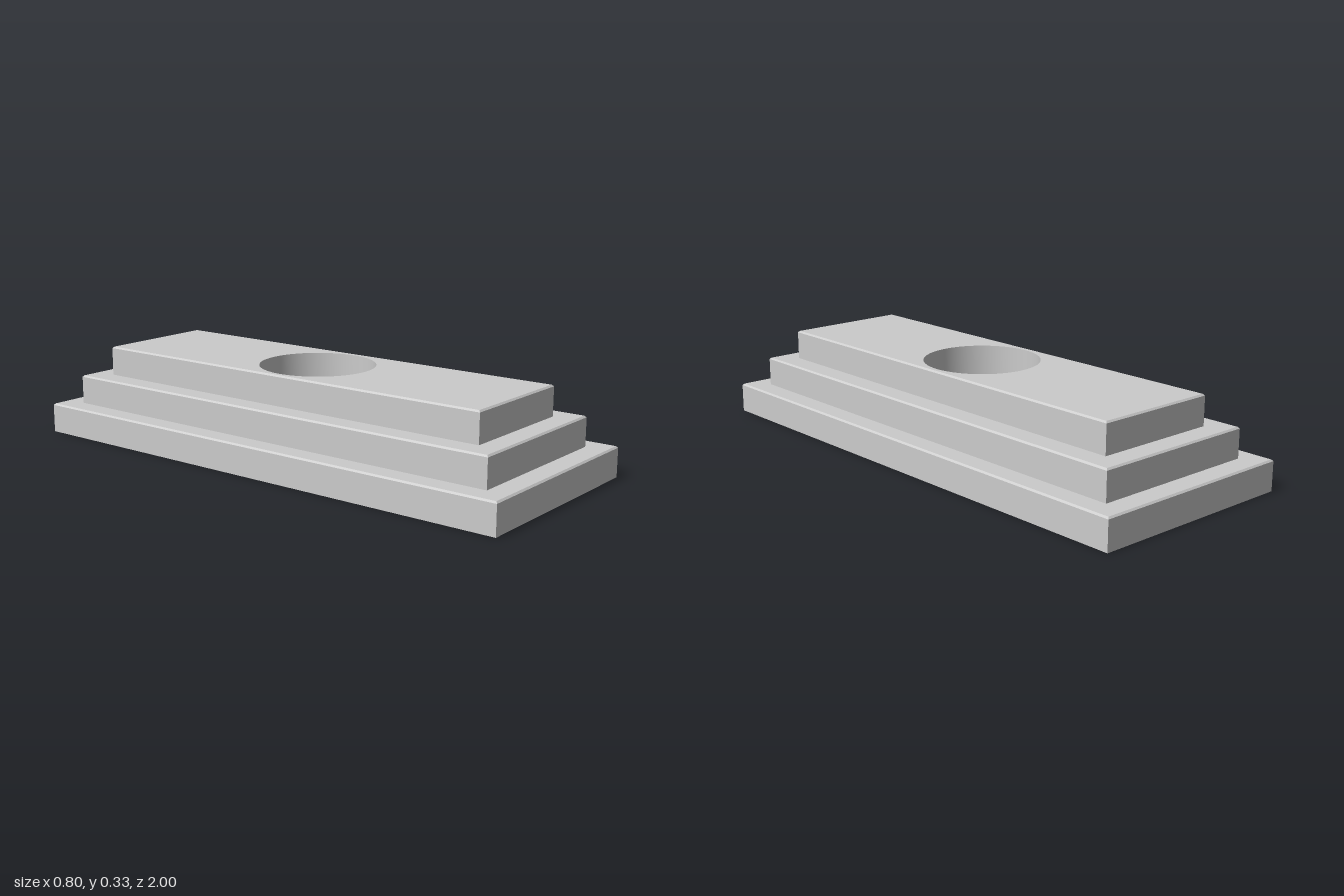
import * as THREE from 'three';
import { toCreasedNormals } from 'three/addons/utils/BufferGeometryUtils.js';

const BORE = 0.212, PIN = 0.077, PIN_Z = 0.6, CHAMFER = 0.006;

function circle(r, z = 0) {
  return new THREE.Path().absarc(0, z, r, 0, Math.PI * 2, true);
}

function rectangle(Type, hw, hd) {
  return new Type([[-hw, -hd], [hw, -hd], [hw, hd], [-hw, hd]].map(([x, y]) => new THREE.Vector2(x, y)));
}

// Upright block with holes; the outer top edge is chamfered by c
function tier(name, hw, hd, y0, y1, holes, c = CHAMFER) {
  const shape = rectangle(THREE.Shape, hw, hd);
  shape.holes.push(...holes);
  const h = y1 - y0;
  let geo = new THREE.ExtrudeGeometry(shape, { depth: h, steps: 2, bevelEnabled: false, curveSegments: 64 });
  const p = geo.attributes.position;
  for (let i = 0; i < p.count; i++) {
    const x = p.getX(i), y = p.getY(i), z = p.getZ(i);
    const outer = Math.abs(x) > hw - 1e-4 && Math.abs(y) > hd - 1e-4;
    if (z > h * 0.75) {
      if (outer) p.setXY(i, x - Math.sign(x) * c, y - Math.sign(y) * c);
    } else if (z > h * 0.25) {
      p.setZ(i, h - CHAMFER);
    }
  }
  geo.rotateX(-Math.PI / 2);
  geo.translate(0, y0, 0);
  geo = toCreasedNormals(geo, 0.4);
  const mesh = new THREE.Mesh(geo, new THREE.MeshStandardMaterial({ color: 0xcccccc }));
  mesh.name = name;
  return mesh;
}

export function createModel() {
  const group = new THREE.Group();
  group.name = 'steppedPlate';

  // Central bore runs through everything; pin holes open only below
  const bore = () => circle(BORE);
  const bores = () => [bore(), circle(PIN, PIN_Z), circle(PIN, -PIN_Z)];

  // Base: outer rim with a flush inset core
  group.add(tier('baseRim', 0.4, 1, 0, 0.112, [rectangle(THREE.Path, 0.34, 0.94)]));
  group.add(tier('baseCore', 0.34, 0.94, 0, 0.112, bores(), 0));

  // Upper steps
  group.add(tier('middleStep', 0.32, 0.916, 0.112, 0.222, bores()));
  group.add(tier('topStep', 0.236, 0.832, 0.222, 0.333, [bore()]));
  return group;
}
